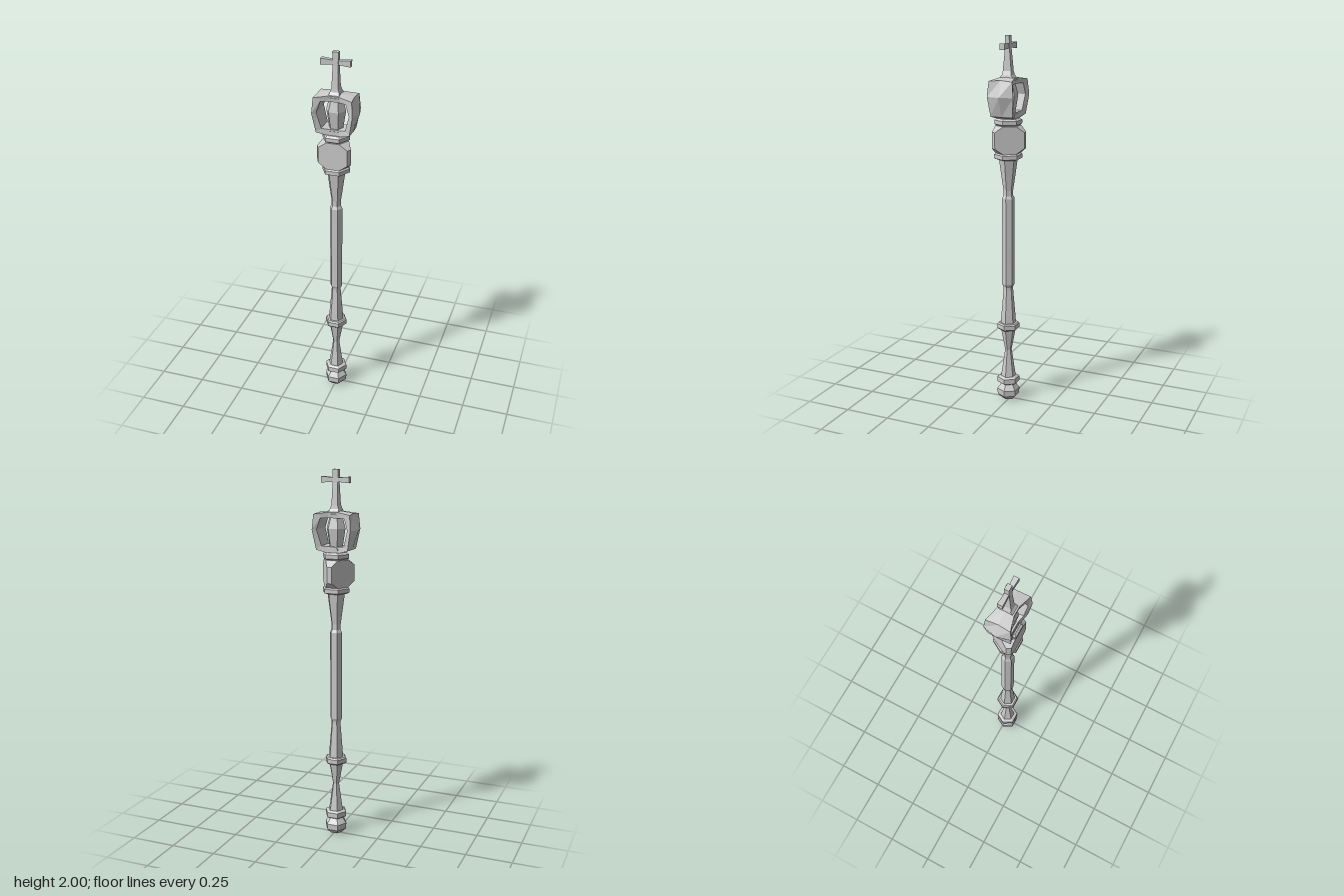
import * as THREE from 'three';

const material = new THREE.MeshStandardMaterial({ color: 0xcccccc, flatShading: true });

// Skin a list of rings (arrays of [x, y, z]); either a closed loop or capped ends
function loft(rings, closed = false) {
  const pos = [];
  const tri = (a, b, c) => pos.push(...a, ...b, ...c);
  const n = rings[0].length;
  const count = closed ? rings.length : rings.length - 1;
  for (let i = 0; i < count; i++) {
    const p = rings[i], q = rings[(i + 1) % rings.length];
    for (let j = 0; j < n; j++) {
      const k = (j + 1) % n;
      tri(p[j], p[k], q[k]);
      tri(p[j], q[k], q[j]);
    }
  }
  if (!closed) {
    const first = rings[0], last = rings[rings.length - 1];
    for (let j = 1; j < n - 1; j++) {
      tri(first[0], first[j + 1], first[j]);
      tri(last[0], last[j], last[j + 1]);
    }
  }
  const g = new THREE.BufferGeometry();
  g.setAttribute('position', new THREE.Float32BufferAttribute(pos, 3));
  g.computeVertexNormals();
  return g;
}

// Six-sided turned part from [radius, y] pairs, with corners on the x axis
function turned(profile) {
  const pts = [[0, profile[0][1]], ...profile, [0, profile[profile.length - 1][1]]];
  return new THREE.LatheGeometry(pts.map(([r, y]) => new THREE.Vector2(r, y)), 6, Math.PI / 2);
}

export function createModel() {
  const group = new THREE.Group();
  const add = (name, geometry) => {
    const mesh = new THREE.Mesh(geometry, material);
    mesh.name = name;
    mesh.position.z = 0.01;
    group.add(mesh);
  };

  // Turned staff, bottom to top
  const parts = {
    pommel: [[0.035, 0], [0.06, 0.025], [0.062, 0.058], [0.037, 0.09], [0.037, 0.1]],
    pommelRing: [[0.05, 0.093], [0.061, 0.1], [0.061, 0.128], [0.05, 0.135]],
    lowerGrip: [[0.042, 0.13], [0.034, 0.18], [0.018, 0.29], [0.042, 0.42]],
    gripRing: [[0.054, 0.413], [0.061, 0.419], [0.061, 0.443], [0.054, 0.45]],
    upperGrip: [[0.042, 0.445], [0.038, 0.5], [0.026, 0.64], [0.026, 0.67]],
    shaft: [[0.026, 0.655], [0.034, 0.672], [0.034, 1.15], [0.026, 1.165], [0.026, 1.2]],
    flare: [[0.026, 1.195], [0.034, 1.25], [0.05, 1.365]],
    lowerCollar: [[0.058, 1.36], [0.075, 1.367], [0.075, 1.388], [0.062, 1.397]],
    headNeck: [[0.055, 1.39], [0.052, 1.6]],
    upperCollar: [[0.06, 1.54], [0.073, 1.548], [0.073, 1.568], [0.06, 1.578]],
    crownCore: [[0.036, 1.6], [0.052, 1.7], [0.034, 1.765]],
  };
  for (const [name, profile] of Object.entries(parts)) add(name, turned(profile));

  // Three-cornered head block: a triangular prism whose corners are cut at distance t
  const face = 0.059;
  const blockRing = ([y, t]) => {
    const w = (2 * face - t) * Math.tan(Math.PI / 6);
    const ring = [];
    for (const a of [Math.PI / 3, Math.PI, -Math.PI / 3]) {
      for (const s of [-w, w]) {
        ring.push([t * Math.sin(a) + s * Math.cos(a), y, t * Math.cos(a) - s * Math.sin(a)]);
      }
    }
    return ring;
  };
  add('headBlock', loft([[1.395, 0.059], [1.425, 0.096], [1.51, 0.096], [1.54, 0.059]].map(blockRing)));

  // Open crown: a ridged band wrapped around the core
  // [ridge x, ridge y, edge x, edge y, edge z, inner x, inner y, inner z]
  const half = [
    [0.028, 1.79, 0.028, 1.785, 0.045, 0.028, 1.755, 0.042],
    [0.096, 1.78, 0.1, 1.775, 0.065, 0.066, 1.755, 0.055],
    [0.124, 1.695, 0.106, 1.695, 0.073, 0.085, 1.695, 0.06],
    [0.09, 1.592, 0.087, 1.592, 0.061, 0.062, 1.612, 0.05],
    [0.03, 1.575, 0.03, 1.575, 0.045, 0.03, 1.608, 0.042],
  ];
  const bandRing = (s) => ([rx, ry, ex, ey, ez, ix, iy, iz]) => [
    [s * ex, ey, -ez], [s * rx, ry, 0], [s * ex, ey, ez], [s * ix, iy, iz], [s * ix, iy, -iz],
  ];
  add('crownBand', loft([...half.map(bandRing(1)), ...half.slice().reverse().map(bandRing(-1))], true));

  // Cross finial: tapering upright and arms that widen toward the tips
  const upright = [[1.775, 0.03, 0.045], [1.8, 0.024, 0.026], [1.82, 0.017, 0.023], [1.93, 0.014, 0.013], [2, 0.016, 0.012]];
  add('crossUpright', loft(upright.map(([y, x, z]) => [[-x, y, z], [x, y, z], [x, y, -z], [-x, y, -z]])));
  const arms = [[-0.077, 0.016, 0.014], [-0.016, 0.011, 0.011], [0.016, 0.011, 0.011], [0.077, 0.016, 0.014]];
  const armY = 1.947;
  add('crossArms', loft(arms.map(([x, h, z]) => [
    [x, armY + h, -z], [x, armY + h, z], [x, armY - h, z], [x, armY - h, -z],
  ])));

  return group;
}
